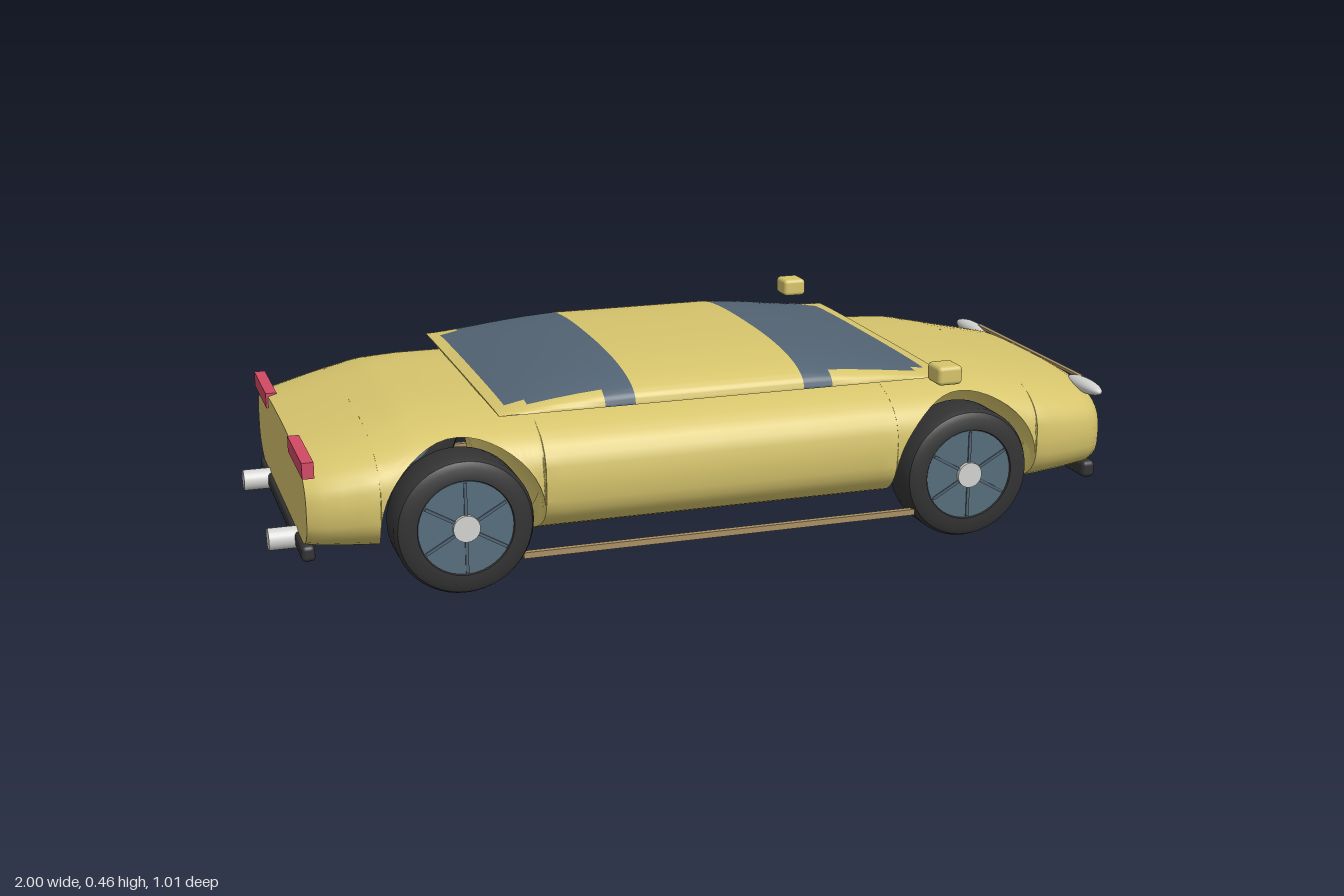
import * as THREE from 'three';
import { toCreasedNormals } from 'three/addons/utils/BufferGeometryUtils.js';
import { RoundedBoxGeometry } from 'three/addons/geometries/RoundedBoxGeometry.js';

const mat = (name, color) => Object.assign(new THREE.MeshStandardMaterial({ color }), { name });

// Linear interpolation in a small table of [x, value] pairs
function lookup(table, x) {
  for (let i = 1; i < table.length; i++) {
    const [x0, a] = table[i - 1], [x1, b] = table[i];
    if (x <= x1) return a + (b - a) * Math.max(0, (x - x0) / (x1 - x0));
  }
  return table[table.length - 1][1];
}

// Skin over equal-length closed sections ordered along +x; faces may be glazed
function loft(sections, isGlass = () => false) {
  const n = sections[0].length, pts = sections.flat(), paint = [], glass = [];
  sections.slice(1).forEach((_, k) => {
    for (let j = 0; j < n; j++) {
      const a = k * n + j, b = k * n + (j + 1) % n, c = a + n, d = b + n;
      const mid = new THREE.Vector3();
      [a, b, c, d].forEach(i => mid.addScaledVector(pts[i], 0.25));
      const list = j < n - 1 && isGlass(mid) ? glass : paint;
      list.push(a, c, b, b, c, d);
    }
  });
  // End caps
  const last = (sections.length - 1) * n;
  for (const [start, flip] of [[0, false], [last, true]]) {
    const centre = new THREE.Vector3();
    for (let j = 0; j < n; j++) centre.addScaledVector(pts[start + j], 1 / n);
    const c = pts.push(centre) - 1;
    for (let j = 0; j < n; j++) {
      const p = start + j, q = start + (j + 1) % n;
      paint.push(c, ...(flip ? [q, p] : [p, q]));
    }
  }
  const geo = new THREE.BufferGeometry().setFromPoints(pts);
  geo.setIndex([...paint, ...glass]);
  geo.addGroup(0, paint.length, 0);
  if (glass.length) geo.addGroup(paint.length, glass.length, 1);
  return toCreasedNormals(geo, 0.6);
}

// Superellipse section from angle a0 on the +z side over the top to the -z side
function section(x, w, mid, h, power, a0, steps, shift = (X) => X) {
  const half = [];
  for (let i = 0; i <= steps; i++) {
    const a = a0 + (Math.PI / 2 - a0) * i / steps, s = Math.sin(a);
    const y = mid + h * Math.sign(s) * Math.abs(s) ** (2 / power);
    const z = w * Math.max(0, Math.cos(a)) ** (2 / power);
    half.push(new THREE.Vector3(shift(x, y), y, z));
  }
  const other = half.slice(0, -1).reverse().map(p => new THREE.Vector3(p.x, p.y, -p.z));
  return [...half, ...other];
}

const AXLE = 0.6, AXLE_Y = 0.16, ARCH = 0.182;

function bodyGeometry() {
  const width = [[-0.935, 0.39], [-0.9, 0.408], [-0.8, 0.428], [-0.65, 0.435], [0.65, 0.435], [0.8, 0.425], [0.9, 0.405], [0.96, 0.385], [0.982, 0.362]];
  const top = [[-0.935, 0.318], [-0.8, 0.355], [-0.7, 0.38], [-0.6, 0.386], [0.6, 0.386], [0.7, 0.38], [0.85, 0.347], [0.96, 0.325], [0.982, 0.314]];
  const bottom = [[-0.935, 0.09], [-0.75, 0.073], [-0.4, 0.076], [0.4, 0.076], [0.75, 0.07], [0.982, 0.088]];
  const column = (x, floor, shift) => {
    const t = lookup(top, x), b = lookup(bottom, x), mid = (t + b) / 2, h = (t - b) / 2;
    const r = floor === undefined ? -1 : (floor - mid) / h;
    const a0 = Math.asin(Math.sign(r) * Math.abs(r) ** 1.5);
    return section(x, lookup(width, x), mid, h, 3, a0, 24, shift);
  };
  const cols = [-0.935, -0.92, -0.9, -0.86, -0.82].map(x => column(x));
  for (const c of [-AXLE, AXLE]) {
    // Wheel arch, with its walls curving in below axle height
    const wall = side => column(c + side * ARCH, undefined, (x, y) =>
      y < AXLE_Y ? c + side * Math.sqrt(ARCH ** 2 - (y - AXLE_Y) ** 2) : x);
    cols.push(wall(-1));
    for (let i = 0; i <= 24; i++) {
      const t = Math.PI * (1 - i / 24);
      cols.push(column(c + ARCH * Math.cos(t), AXLE_Y + ARCH * Math.sin(t)));
    }
    cols.push(wall(1));
    if (c < 0) [-0.38, -0.2, 0, 0.2, 0.38].forEach(x => cols.push(column(x)));
  }
  [0.82, 0.86, 0.9, 0.935, 0.96, 0.973, 0.982].forEach(x => cols.push(column(x)));
  return loft(cols);
}

function cabinGeometry() {
  const height = [[-0.51, 0.004], [-0.44, 0.026], [-0.38, 0.042], [-0.32, 0.055], [-0.27, 0.063], [-0.2, 0.07],
    [0.2, 0.07], [0.27, 0.064], [0.33, 0.055], [0.4, 0.041], [0.49, 0.021], [0.56, 0.004]];
  const xs = [-0.51, -0.485, -0.44, -0.38, -0.32, -0.27, -0.235, -0.2, -0.1, 0, 0.1, 0.2, 0.235, 0.27, 0.33, 0.4, 0.45, 0.49, 0.525, 0.56];
  const cols = xs.map(x => section(x, 0.39, 0.385, lookup(height, x), 2.5, 0, 28));
  return loft(cols, p => {
    const z = Math.abs(p.z), ax = Math.abs(p.x);
    if (ax < 0.2 || p.x > 0.525 || p.x < -0.485) return false;
    return ax < 0.27 || z < (p.x > 0.49 || p.x < -0.44 ? 0.335 : 0.362);
  });
}

export function createModel() {
  const paint = mat('gold paint', 0xd6c46c), glass = mat('blue grey glass', 0x526373);
  const rubber = mat('black rubber', 0x333333), rimGrey = mat('rim blue grey', 0x566d7c);
  const dark = mat('dark trim', 0x3a3a3a), chrome = mat('chrome', 0xd2d2d0);
  const red = mat('red lamp', 0xd04a64), tan = mat('tan trim', 0xa89064);

  const model = new THREE.Group();
  const add = (name, geo, material, x = 0, y = 0, z = 0, parent = model) => {
    const mesh = new THREE.Mesh(geo, material);
    mesh.name = name;
    mesh.position.set(x, y, z);
    parent.add(mesh);
    return mesh;
  };
  const box = (x, y, z) => new THREE.BoxGeometry(x, y, z);

  add('body', bodyGeometry(), paint);
  add('cabin', cabinGeometry(), [paint, glass]);

  // Wheels: lathed tyre, rim disc, thin spokes and hub, outer face towards +z
  const tyreProfile = [[0.09, -0.06], [0.135, -0.06], [0.149, -0.053], [0.156, -0.038], [0.156, 0.038], [0.149, 0.053], [0.135, 0.06], [0.108, 0.06], [0.104, 0.05]]
    .map(p => new THREE.Vector2(...p));
  const tyre = toCreasedNormals(new THREE.LatheGeometry(tyreProfile, 48), 0.6).rotateX(Math.PI / 2);
  const rim = new THREE.CylinderGeometry(0.106, 0.106, 0.114, 40).rotateX(Math.PI / 2);
  const hub = new THREE.CylinderGeometry(0.03, 0.03, 0.03, 24).rotateX(Math.PI / 2);
  const spoke = box(0.08, 0.007, 0.006).translate(0.063, 0, 0.057);
  for (const x of [-AXLE, AXLE]) for (const side of [1, -1]) {
    const wheel = new THREE.Group();
    wheel.name = 'wheel';
    wheel.position.set(x, 0.156, side * 0.38);
    wheel.rotation.y = side > 0 ? 0 : Math.PI;
    model.add(wheel);
    add('tyre', tyre, rubber, 0, 0, 0, wheel);
    add('rim', rim, rimGrey, 0, 0, 0, wheel);
    add('hub', hub, chrome, 0, 0, 0.051, wheel);
    for (let i = 0; i < 6; i++) add('spoke', spoke, glass, 0, 0, 0, wheel).rotation.z = (i + 0.5) * Math.PI / 3;
  }

  // Mirrored details
  for (const s of [1, -1]) {
    add('mirror', new RoundedBoxGeometry(0.06, 0.044, 0.066, 3, 0.01), paint, 0.51, 0.419, s * 0.474);
    add('headlight', new THREE.SphereGeometry(1, 32, 16).scale(0.022, 0.017, 0.077), chrome, 0.97, 0.306, s * 0.305);
    add('tailLight', box(0.026, 0.036, 0.21), red, -0.927, 0.304, s * 0.285);
    add('exhaust', new THREE.CylinderGeometry(0.025, 0.025, 0.1, 24).rotateZ(Math.PI / 2), chrome, -0.95, 0.1, s * 0.22);
    add('sill', box(0.94, 0.014, 0.014), tan, 0, 0.073, s * 0.42);
  }

  // Nose and tail trim
  add('noseTrim', box(0.012, 0.007, 0.55), tan, 0.978, 0.318, 0);
  add('grille', box(0.02, 0.12, 0.375), dark, 0.985, 0.175, 0);
  add('frontBumper', new RoundedBoxGeometry(0.035, 0.042, 0.69, 3, 0.012), rubber, 0.975, 0.101, 0);
  add('rearBumper', new RoundedBoxGeometry(0.03, 0.036, 0.69, 3, 0.01), rubber, -0.928, 0.1, 0);
  return model;
}
